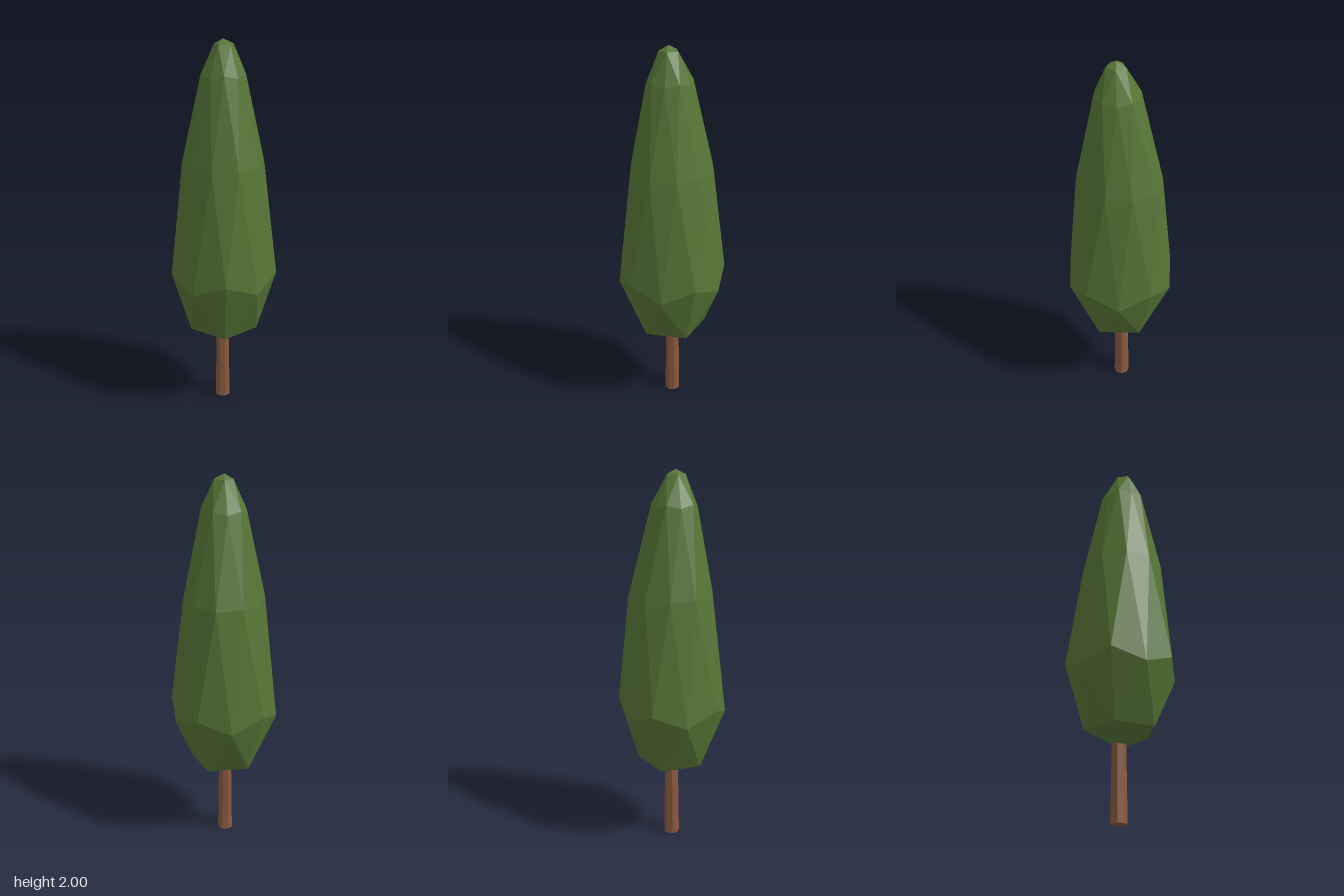
import * as THREE from 'three';

// Ring of points; alternate points may use a second height and radius
function ring(count, startDeg, cx, cz, radii, heights) {
  return Array.from({ length: count }, (_, i) => {
    const t = THREE.MathUtils.degToRad(startDeg + (360 / count) * i);
    const r = radii[i % radii.length];
    return [cx + r * Math.cos(t), heights[i % heights.length], cz - r * Math.sin(t)];
  });
}

// Faceted crown with the layout of a stretched, once-divided icosahedron
function crownGeometry() {
  const top = [-0.008, 2, 0.015];
  const bottom = [0, 0.37, 0];
  const tip = ring(5, 0, -0.004, 0.018, [0.05], [1.975]);
  const upper = ring(10, 0, -0.006, 0.01, [0.114, 0.116], [1.82, 1.835]);
  const middle = ring(10, 18, 0, 0,
    [0.216, 0.232, 0.215, 0.207, 0.212, 0.213, 0.215, 0.22, 0.213, 0.21], [1.38]);
  const lower = ring(10, 0, 0, 0, [0.283, 0.29], [0.735, 0.8]);
  const base = ring(5, 36, 0, 0, [0.187], [0.455]);

  const points = [];
  const tri = (a, b, c) => points.push(...a, ...b, ...c);
  const at = (list, i) => list[i % list.length];

  // Caps and the five-to-ten bands
  for (let k = 0; k < 5; k++) {
    const a = tip[k], b = at(tip, k + 1), mid = upper[2 * k + 1];
    tri(top, a, b);
    tri(a, upper[2 * k], mid);
    tri(a, mid, b);
    tri(b, mid, at(upper, 2 * k + 2));

    const c = base[k], d = at(base, k + 1), low = at(lower, 2 * k + 2);
    tri(bottom, d, c);
    tri(c, low, lower[2 * k + 1]);
    tri(c, d, low);
    tri(d, at(lower, 2 * k + 3), low);
  }
  // Zigzag bands above and below the middle ring
  for (let j = 0; j < 10; j++) {
    const e = middle[j], f = at(middle, j + 1);
    tri(upper[j], e, at(upper, j + 1));
    tri(at(upper, j + 1), e, f);
    tri(e, lower[j], at(lower, j + 1));
    tri(e, at(lower, j + 1), f);
  }

  const geometry = new THREE.BufferGeometry();
  geometry.setAttribute('position', new THREE.Float32BufferAttribute(points, 3));
  geometry.computeVertexNormals();
  return geometry;
}

export function createModel() {
  const tree = new THREE.Group();
  tree.name = 'cypressTree';

  const crown = new THREE.Mesh(crownGeometry(),
    new THREE.MeshStandardMaterial({ color: 0x567536, flatShading: true }));
  crown.name = 'crown';

  // Slightly tapered trunk, reaching a little into the crown
  const height = 0.42;
  const trunk = new THREE.Mesh(new THREE.CylinderGeometry(0.036, 0.042, height, 8),
    new THREE.MeshStandardMaterial({ color: 0x8a5a40, flatShading: true }));
  trunk.name = 'trunk';
  trunk.position.set(0, height / 2, -0.01);

  tree.add(crown, trunk);
  return tree;
}
